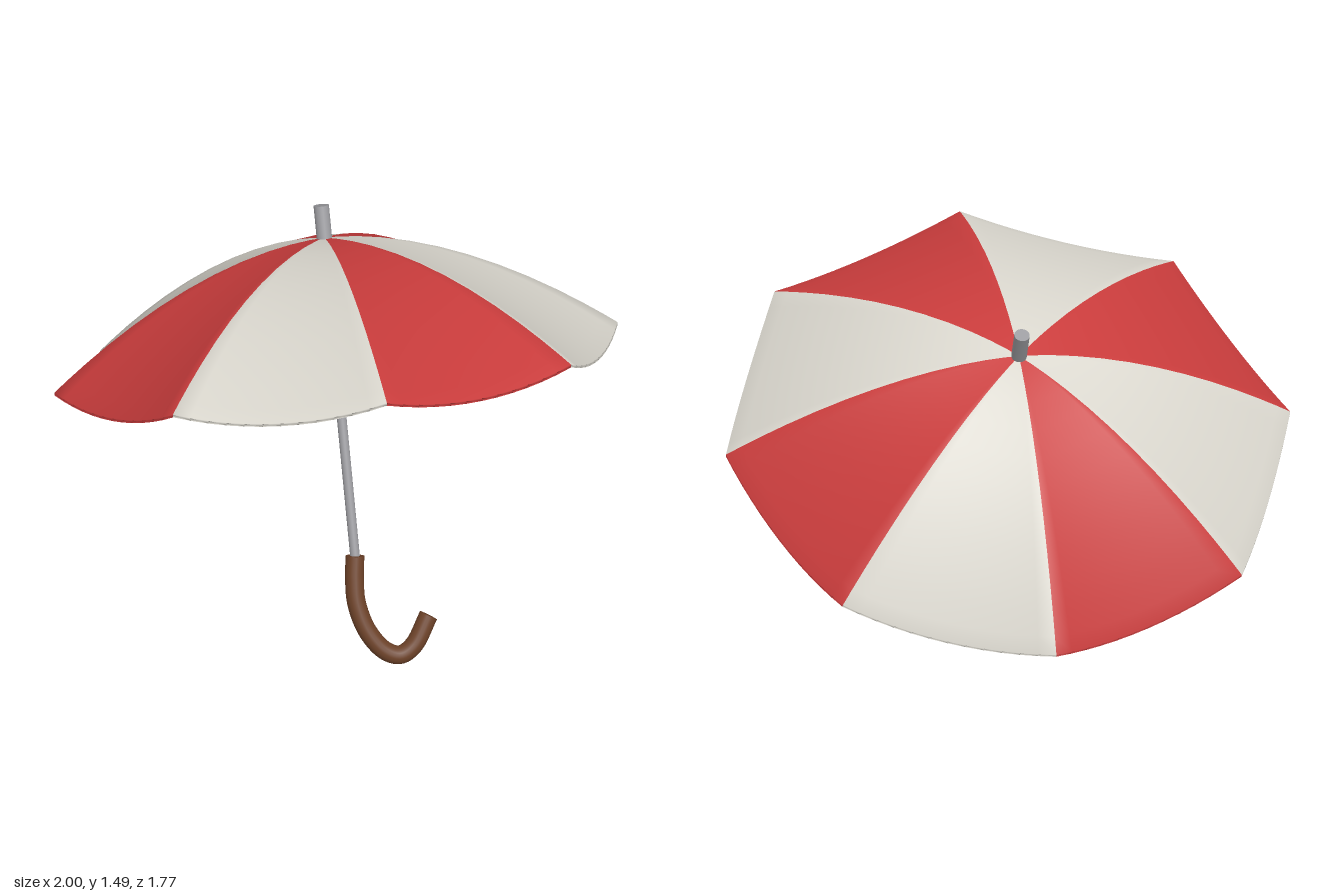
import * as THREE from 'three';

const red = new THREE.MeshStandardMaterial({ name: 'red cloth', color: 0xc93c3c, side: THREE.DoubleSide });
const white = new THREE.MeshStandardMaterial({ name: 'off-white cloth', color: 0xd9d6cd, side: THREE.DoubleSide });
const metal = new THREE.MeshStandardMaterial({ name: 'grey metal', color: 0x9a9a9e });
const wood = new THREE.MeshStandardMaterial({ name: 'brown wood', color: 0x6b4128 });

const PANELS = 8, COLS = 12, DOME = 0.425, SAG = 0.05, THICK = 0.01;

// Cloth point: t runs from apex to rim, s runs across panel k from rib to rib
function clothPoint(k, s, t, drop) {
  const step = (Math.PI * 2) / PANELS;
  const a = k * step, b = a + step;
  const bow = 4 * s * (1 - s);
  const r = t * (1 + 0.012 * bow);
  return [
    r * (Math.cos(a) * (1 - s) + Math.cos(b) * s),
    DOME * (1 - t ** 1.8) - SAG * t * t * bow - drop,
    r * (Math.sin(a) * (1 - s) + Math.sin(b) * s),
  ];
}

// Thin closed shell: outer skin out to the rim, then the lining back to the apex
function canopyGeometry() {
  const ts = [0, 0.05, 0.12, 0.2, 0.3, 0.4, 0.5, 0.6, 0.7, 0.8, 0.88, 0.95, 1];
  const rows = [
    ...ts.map((t) => [t, 0]),
    ...ts.slice().reverse().map((t) => [t, THICK]),
  ];
  const n = PANELS * COLS;
  const positions = [], indices = [];
  for (const [t, drop] of rows)
    for (let j = 0; j < n; j++)
      positions.push(...clothPoint(Math.floor(j / COLS), (j % COLS) / COLS, t, drop));

  const geo = new THREE.BufferGeometry();
  for (let k = 0; k < PANELS; k++) {
    const start = indices.length;
    for (let i = 0; i < rows.length - 1; i++) {
      for (let c = 0; c < COLS; c++) {
        const j = k * COLS + c, j2 = (j + 1) % n;
        const p = i * n + j, q = i * n + j2, u = p + n, v = q + n;
        indices.push(p, q, u, q, v, u);
      }
    }
    geo.addGroup(start, indices.length - start, k % 2);
  }
  geo.setAttribute('position', new THREE.Float32BufferAttribute(positions, 3));
  geo.setIndex(indices);
  geo.computeVertexNormals();
  return geo;
}

// Upright round bar between two heights
function bar(name, radius, y0, y1) {
  const mesh = new THREE.Mesh(new THREE.CylinderGeometry(radius, radius, y1 - y0, 24), metal);
  mesh.name = name;
  mesh.position.y = (y0 + y1) / 2;
  return mesh;
}

// Hooked grip: bent tube with flat ends
function handle() {
  const group = new THREE.Group();
  group.name = 'handle';
  const radius = 0.033;
  const path = new THREE.CatmullRomCurve3([
    [0, -0.705], [-0.01, -0.79], [-0.01, -0.875], [0.02, -0.978],
    [0.075, -1.052], [0.125, -1.072], [0.175, -1.045], [0.238, -0.946],
  ].map(([x, y]) => new THREE.Vector3(x, y, 0)));
  const grip = new THREE.Mesh(new THREE.TubeGeometry(path, 56, radius, 20), wood);
  grip.name = 'grip';
  group.add(grip);
  for (const [end, dir] of [[0, -1], [1, 1]]) {
    const cap = new THREE.Mesh(new THREE.CircleGeometry(radius, 20), wood);
    cap.name = 'gripEnd';
    const point = path.getPoint(end);
    cap.position.copy(point);
    cap.lookAt(point.clone().addScaledVector(path.getTangent(end), dir));
    group.add(cap);
  }
  return group;
}

export function createModel() {
  const model = new THREE.Group();
  model.name = 'umbrella';

  // Everything is built upright around the rim centre, then leaned back
  const tilted = new THREE.Group();
  tilted.name = 'tiltedUmbrella';
  tilted.rotation.x = THREE.MathUtils.degToRad(-28);
  tilted.position.y = 0.985;
  model.add(tilted);

  const canopy = new THREE.Mesh(canopyGeometry(), [white, red]);
  canopy.name = 'canopy';
  tilted.add(
    canopy,
    bar('shaft', 0.017, -0.74, 0.43),
    bar('topTip', 0.027, 0.405, 0.54),
    handle(),
  );
  return model;
}
